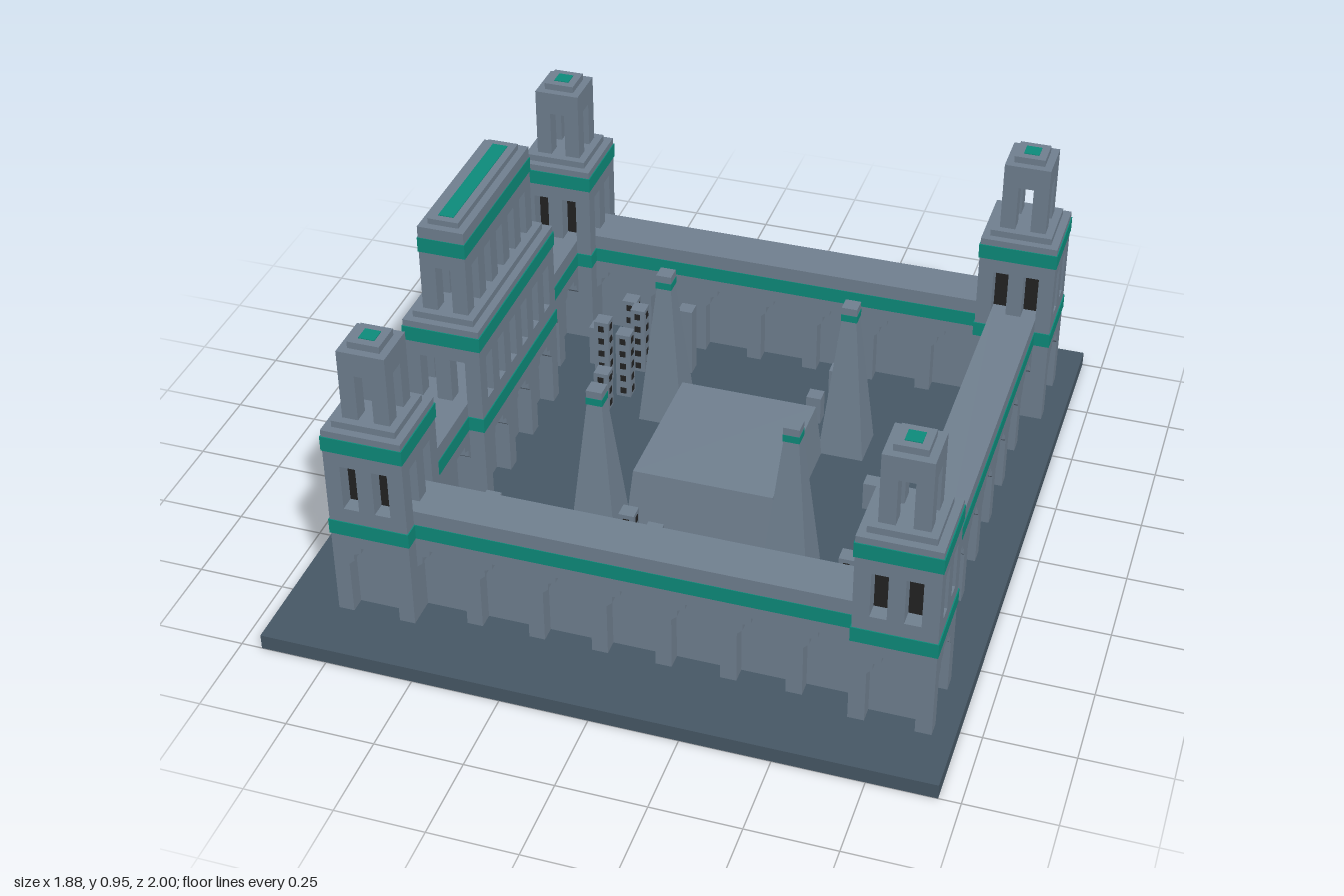
import * as THREE from 'three';

const U = 0.045;              // building module
const X0 = -0.785, Z0 = -0.8375; // corner of the module grid
const mat = (color) => new THREE.MeshStandardMaterial({ color, flatShading: true });
const STONE = mat(0x708090), TEAL = mat(0x0d8b7b), FLOOR = mat(0x475866), DARK = mat(0x222222);

function add(parent, name, geo, material, x = 0, y = 0, z = 0) {
  const m = new THREE.Mesh(geo, material);
  m.name = name;
  m.position.set(x, y, z);
  parent.add(m);
  return m;
}

// Box standing from y0 to y1, centred on x, z
function slab(parent, name, w, d, y0, y1, material = STONE, x = 0, z = 0) {
  return add(parent, name, new THREE.BoxGeometry(w, y1 - y0, d), material, x, (y0 + y1) / 2, z);
}

// One-module-thick panel with n stepped arches, open at the ground
function arcadeGeometry(n) {
  const w = (4 * n + 1) * U, s = new THREE.Shape();
  s.moveTo(-w / 2, 0.045);
  for (let i = 0; i < n; i++) {
    const c = -w / 2 + (4 * i + 2.5) * U;
    const half = [[1.5, 0.045], [1.5, 0.21], [1.15, 0.225], [1.15, 0.245], [0.65, 0.255], [0.65, 0.272]];
    half.forEach(([a, y]) => s.lineTo(c - a * U, y));
    half.slice().reverse().forEach(([a, y]) => s.lineTo(c + a * U, y));
  }
  s.lineTo(w / 2, 0.045);
  s.lineTo(w / 2, 0.31);
  s.lineTo(-w / 2, 0.31);
  return new THREE.ExtrudeGeometry(s, { depth: U, bevelEnabled: false });
}

// Arcade panels on the two long faces (z = +-d/2), facing outwards
function arcadePair(parent, n, d, turn = 0) {
  for (const side of [0, Math.PI]) {
    const holder = new THREE.Group();
    holder.rotation.y = side + turn;
    add(holder, 'arcade', arcadeGeometry(n), STONE, 0, 0, d / 2 - U);
    parent.add(holder);
  }
}

// Ring of square columns on every other module of an nx by nz plan
function columnRing(parent, nx, nz, y0, y1) {
  for (let i = 0; i < nx; i += 2)
    for (let j = 0; j < nz; j += 2)
      if (i === 0 || j === 0 || i === nx - 1 || j === nz - 1)
        slab(parent, 'column', U, U, y0, y1, STONE, (i - (nx - 1) / 2) * U, (j - (nz - 1) / 2) * U);
}

// Two-storey building on arches: one arch wide, n arches long; open = see-through gallery
function building(name, n, open) {
  const g = new THREE.Group(), nz = 4 * n + 1, w = 5 * U, d = nz * U;
  g.name = name;
  arcadePair(g, 1, d);
  arcadePair(g, n, w, Math.PI / 2);
  slab(g, 'arcadeCore', 3 * U, d - 2 * U, 0.045, 0.31);
  slab(g, 'lowerBand', w + 0.006, d + 0.006, 0.31, 0.355, TEAL);
  slab(g, 'galleryFloor', w, d, 0.355, 0.4);
  columnRing(g, 5, nz, 0.4, 0.54);
  if (!open) slab(g, 'darkInterior', 3 * U, d - 2 * U, 0.4, 0.54, DARK);
  slab(g, 'lintel', w, d, 0.54, 0.585);
  slab(g, 'upperBand', w + 0.006, d + 0.006, 0.585, 0.63, TEAL);
  slab(g, 'cornice', w, d, 0.63, 0.65);
  slab(g, 'step', w - U, d - U, 0.65, 0.67);
  // open lantern storey
  const lw = 3 * U, ld = d - 2 * U;
  columnRing(g, 3, nz - 2, 0.67, 0.81);
  let top = 0.88;
  if (open) {
    slab(g, 'lanternLintel', lw, ld, 0.81, 0.855);
    slab(g, 'lanternBand', lw + 0.004, ld + 0.004, 0.855, 0.9, TEAL);
    slab(g, 'lanternCornice', lw, ld, 0.9, 0.935);
    top = 0.935;
  } else slab(g, 'lanternLintel', lw, ld, 0.81, 0.88);
  const capTop = open ? 0.952 : 0.9;
  slab(g, 'cap', lw - U, ld - U, top, capTop);
  slab(g, 'roofTile', U, ld - 2 * U, capTop - 0.01, capTop + 0.002, TEAL);
  return g;
}

// Enclosing wall, three modules thick, arches recessed on both faces
function wall(name) {
  const g = new THREE.Group(), len = 29 * U;
  g.name = name;
  arcadePair(g, 7, 3 * U);
  slab(g, 'wallCore', len, U, 0.045, 0.31);
  slab(g, 'wallBand', len, 3 * U + 0.004, 0.31, 0.355, TEAL);
  slab(g, 'wallTop', len, 3 * U, 0.355, 0.4);
  return g;
}

// Square frustum from half-width a to b
function frustum(parent, name, a, b, y0, y1, material, x = 0, z = 0) {
  const geo = new THREE.CylinderGeometry(b * Math.SQRT2, a * Math.SQRT2, y1 - y0, 4);
  geo.rotateY(Math.PI / 4);
  return add(parent, name, geo, material, x, (y0 + y1) / 2, z);
}

export function createModel() {
  const model = new THREE.Group();
  model.name = 'courtyardFortress';
  slab(model, 'base', 1.88, 2, 0, 0.045, FLOOR);

  const cx = X0 + 18.5 * U, cz = Z0 + 18.5 * U, r = 16 * U;

  // corner towers and walls
  for (const sx of [-1, 1])
    for (const sz of [-1, 1]) {
      const t = building('cornerTower', 1, false);
      t.position.set(cx + sx * r, 0, cz + sz * r);
      model.add(t);
    }
  for (const s of [-1, 1]) {
    const a = wall(s > 0 ? 'frontWall' : 'backWall');
    a.position.set(cx, 0, cz + s * r);
    const b = wall(s > 0 ? 'leftWall' : 'rightWall');
    b.position.set(cx + s * r, 0, cz);
    b.rotation.y = Math.PI / 2;
    model.add(a, b);
  }

  // gatehouse astride the -x wall
  const gate = building('gatehouse', 3, true);
  gate.position.set(cx - r, 0, cz);
  model.add(gate);

  // central platform and four obelisks
  const px = 0.067;
  const platform = frustum(model, 'platform', 0.223, 0.206, 0.045, 0.22, STONE, px, -0.007);
  platform.scale.z = 1.1;
  for (const sx of [-1, 1])
    for (const sz of [-1, 1]) {
      const o = new THREE.Group();
      o.name = 'obelisk';
      o.position.set(px + sx * 0.281, 0, -0.01 + sz * 0.303);
      frustum(o, 'shaft', 0.068, 0.022, 0.045, 0.5, STONE);
      slab(o, 'obeliskBand', 0.048, 0.048, 0.5, 0.522, TEAL);
      slab(o, 'obeliskCap', 0.046, 0.046, 0.522, 0.545);
      model.add(o);
    }

  // small block pillars in the courtyard: x, z, blocks high, notched
  const pillars = [
    [-0.5, -0.5, 3, 0], [-0.405, -0.545, 5, 1], [-0.365, -0.505, 5, 1], [-0.45, -0.41, 5, 1],
    [-0.365, -0.365, 5, 1], [-0.405, -0.275, 3, 1], [-0.225, -0.545, 5, 0], [0.27, -0.59, 4, 0],
    [0.27, -0.5, 3, 0], [0.225, -0.41, 2, 0], [0.54, -0.14, 3, 0], [0.495, -0.05, 2, 0],
    [0.63, 0.27, 4, 1], [0.585, 0.31, 3, 0], [0.54, 0.4, 4, 1], [-0.5, 0.4, 3, 0],
    [-0.09, 0.4, 4, 1], [-0.045, 0.42, 3, 0], [-0.09, 0.445, 2, 0], [0, 0.45, 4, 1],
  ];
  for (const [x, z, n, notched] of pillars) {
    const p = new THREE.Group();
    p.name = 'blockPillar';
    p.position.set(x, 0, z);
    slab(p, 'pillar', U, U, 0.045, 0.045 + n * U);
    if (notched)
      for (let i = 0; i < n; i++) {
        const y = 0.057 + i * U;
        slab(p, 'notch', U + 0.004, 0.018, y, y + 0.02, DARK);
        slab(p, 'notch', 0.018, U + 0.004, y, y + 0.02, DARK);
      }
    model.add(p);
  }
  return model;
}
